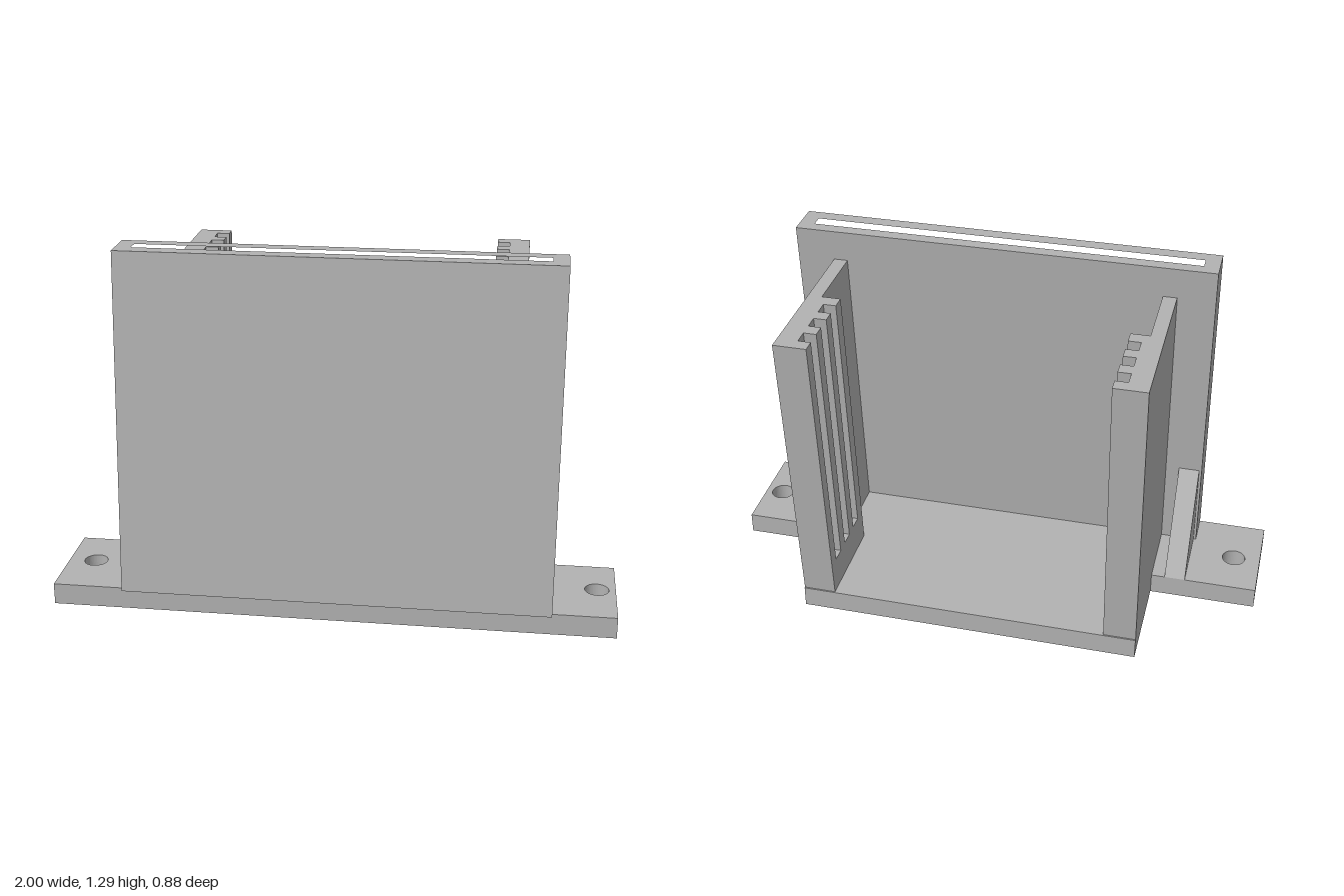
import * as THREE from 'three';

const CX = 0.015;      // symmetry plane of the body
const TOP = 0.078;     // top of the base plate
const LEAN = 0.0875;   // backward lean per unit of height

// Closed outline from [x, z] pairs, looking down on the plan
const trace = (path, pts) => {
  pts.forEach(([x, z], i) => (i ? path.lineTo(x, -z) : path.moveTo(x, -z)));
  path.closePath();
  return path;
};
const rect = (x0, x1, z0, z1) => [[x0, z0], [x1, z0], [x1, z1], [x0, z1]];

export function createModel() {
  const model = new THREE.Group();
  const grey = new THREE.MeshStandardMaterial({ color: 0xb2b2b2 });
  grey.name = 'grey plastic';

  const add = (name, geo) => {
    const mesh = new THREE.Mesh(geo, grey);
    mesh.name = name;
    model.add(mesh);
  };

  // Raise a plan outline from y0 to y1, sheared backwards by lean
  const prism = (name, pts, y0, y1, lean = 0, holes = []) => {
    const shape = trace(new THREE.Shape(), pts);
    shape.holes.push(...holes);
    const geo = new THREE.ExtrudeGeometry(shape, { depth: y1 - y0, bevelEnabled: false, curveSegments: 24 });
    geo.rotateX(-Math.PI / 2).translate(0, y0, 0);
    const p = geo.attributes.position;
    for (let i = 0; i < p.count; i++) p.setZ(i, p.getZ(i) - lean * (p.getY(i) - TOP));
    geo.computeVertexNormals();
    add(name, geo);
  };

  // T-shaped base plate with a screw hole in each ear
  const screwHoles = [-0.901, 0.933].map((x) => new THREE.Path().absarc(x, -0.215, 0.043, 0, Math.PI * 2, true));
  const bodyL = CX - 0.625, bodyR = CX + 0.625;
  prism('basePlate', [
    [-1, 0.419], [1, 0.419], [1, 0.036], [bodyR, 0.036], [bodyR, -0.346],
    [bodyL, -0.346], [bodyL, 0.036], [-1, 0.036],
  ], 0, TOP, 0, screwHoles);

  // Leaning front panel: solid foot, then hollow slot open at the top
  const panel = rect(CX - 0.76, CX + 0.76, 0.296, 0.438);
  const slot = trace(new THREE.Path(), rect(CX - 0.705, CX + 0.705, 0.3425, 0.3875));
  prism('frontPanelFoot', panel, TOP - 0.002, 0.15, LEAN);
  prism('frontPanel', panel, 0.15, 1.295, LEAN, [slot]);

  for (const s of [-1, 1]) {
    const side = s > 0 ? 'left' : 'right';
    const X = (u) => CX + s * u;

    // Side wall: thin near the panel, thick and grooved towards the back
    const wall = (grooves) => [
      [X(0.625), -0.341], [X(0.625), 0.297], [X(0.575), 0.297], [X(0.575), 0.014], [X(0.507), 0.014],
      ...grooves.flatMap(([front, back]) => [
        [X(0.507), front], [X(0.552), front], [X(0.552), back], [X(0.507), back],
      ]),
      [X(0.507), -0.341],
    ];
    const grooves = [[-0.037, -0.091], [-0.138, -0.192], [-0.24, -0.294]];
    prism(side + 'WallFoot', wall([]), TOP, 0.205, LEAN);
    prism(side + 'Wall', wall(grooves), 0.205, 1.18, LEAN);

    // Triangular gusset between the ear and the back of the panel
    const tri = new THREE.Shape([[-0.297, TOP], [-0.036, TOP], [-0.266, 0.425]].map(([a, b]) => new THREE.Vector2(a, b)));
    const geo = new THREE.ExtrudeGeometry(tri, { depth: 0.076, bevelEnabled: false });
    geo.rotateY(Math.PI / 2).translate(X(0.7125) - 0.038, 0, 0);
    add(side + 'Gusset', geo);
  }
  return model;
}
